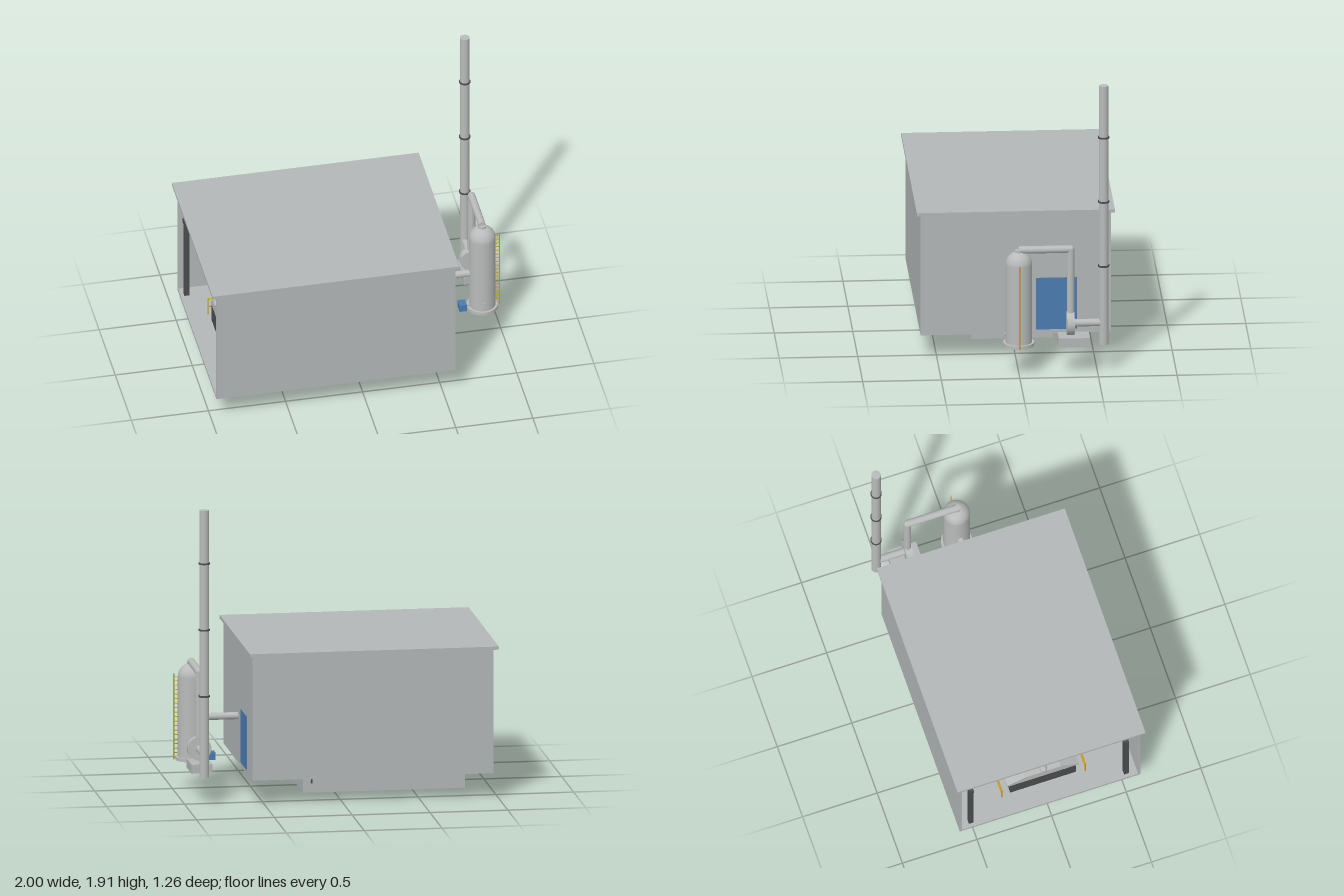
import * as THREE from 'three';

const mat = (name, color) => Object.assign(new THREE.MeshStandardMaterial({ color }), { name });

export function createModel() {
  const root = new THREE.Group();
  root.name = 'processBuilding';
  const grey = mat('concrete grey', 0xb2b6b6);
  const steel = mat('light steel', 0xb8bbba);
  const dark = mat('dark steel', 0x4a4c4e);
  const blue = mat('equipment blue', 0x4a7bb0);
  const yellow = mat('safety yellow', 0xd2a21c);

  const add = (name, geo, material, parent = root) => {
    const m = new THREE.Mesh(geo, material);
    m.name = name;
    parent.add(m);
    return m;
  };
  // box from min and max limits on each axis
  const box = (name, m, x0, x1, y0, y1, z0, z1) =>
    add(name, new THREE.BoxGeometry(x1 - x0, y1 - y0, z1 - z0), m)
      .position.set((x0 + x1) / 2, (y0 + y1) / 2, (z0 + z1) / 2);
  // round bar between two points
  const rod = (name, m, a, b, r, sides = 24) => {
    const A = new THREE.Vector3(...a), B = new THREE.Vector3(...b);
    const d = B.clone().sub(A);
    const mesh = add(name, new THREE.CylinderGeometry(r, r, d.length(), sides), m);
    mesh.position.copy(A).add(B).multiplyScalar(0.5);
    mesh.quaternion.setFromUnitVectors(new THREE.Vector3(0, 1, 0), d.normalize());
  };
  const ball = (name, m, p, r) =>
    add(name, new THREE.SphereGeometry(r, 20, 12), m).position.set(...p);

  // building shell, open on the -x end
  box('roof', grey, -1, 0.6, 0.965, 0.985, -0.63, 0.63);
  box('floor', grey, -0.97, 0.58, 0.16, 0.18, -0.605, 0.605);
  box('pit', grey, -0.84, 0.2, 0, 0.16, -0.26, 0.26);
  box('endWall', grey, 0.565, 0.58, 0.16, 0.965, -0.605, 0.605);
  for (const s of [-1, 1]) {
    const z = s * 0.5975;
    box('sideWall', grey, -0.97, 0.565, 0.16, 0.965, z - 0.0075, z + 0.0075);
  }
  box('door', blue, 0.58, 0.584, 0.185, 0.53, -0.39, -0.13);

  // pit drain pipe
  rod('drainPipe', dark, [0.15, 0.07, -0.255], [0.15, 0.07, -0.29], 0.005, 8);
  rod('drainPipe', dark, [0.15, 0.065, -0.29], [0.15, 0.16, -0.29], 0.005, 8);

  // crane runway on columns, with bridge and hoist
  for (const z of [-0.52, 0.52]) {
    for (const x of [-0.93, -0.46, 0.01, 0.48])
      box('craneColumn', dark, x - 0.016, x + 0.016, 0.18, 0.74, z - 0.016, z + 0.016);
    box('craneRunway', dark, -0.95, 0.5, 0.735, 0.77, z - 0.016, z + 0.016);
  }
  box('craneBridge', dark, -0.69, -0.65, 0.77, 0.82, -0.53, 0.53);
  rod('hoistRope', dark, [-0.67, 0.5, 0], [-0.67, 0.78, 0], 0.004, 8);

  // treatment tank with sloped covers, knobs and drop pipes
  box('tankBody', dark, -0.83, 0.19, 0.18, 0.3, -0.22, 0.22);
  const cover = new THREE.Shape([[-0.24, 0], [0.24, 0], [0.24, 0.02], [0.12, 0.07], [-0.12, 0.07], [-0.24, 0.02]]
    .map(p => new THREE.Vector2(...p)));
  for (let i = 0; i < 4; i++) {
    const x = -0.83 + i * 0.257;
    const lid = add('tankCover', new THREE.ExtrudeGeometry(cover, { depth: 0.245, bevelEnabled: false }), steel);
    lid.rotation.y = Math.PI / 2;
    lid.position.set(x, 0.3, 0);
    rod('extractionDrop', steel, [x + 0.12, 0.365, 0], [x + 0.12, 0.46, 0], 0.012, 16);
    for (const z of [-0.09, 0.09])
      box('coverHandle', yellow, x + 0.11, x + 0.13, 0.37, 0.38, z - 0.01, z + 0.01);
  }
  // walkway railings
  for (const z of [-0.28, 0.28]) {
    for (let i = 0; i < 6; i++) {
      const x = -0.84 + i * 0.206;
      rod('railingPost', yellow, [x, 0.18, z], [x, 0.3, z], 0.004, 8);
    }
    for (const y of [0.24, 0.3])
      rod('railingBar', yellow, [-0.84, y, z], [0.19, y, z], 0.004, 8);
  }

  // extraction duct through the end wall
  rod('extractionDuct', steel, [-0.84, 0.46, 0], [0.82, 0.46, 0], 0.023);
  ball('ductEnd', steel, [-0.84, 0.46, 0], 0.023);

  // scrubber vessel with domed top
  const X = 0.88;
  rod('scrubberBase', steel, [X, 0.185, 0], [X, 0.207, 0], 0.1, 40);
  rod('scrubberBody', steel, [X, 0.207, 0], [X, 0.725, 0], 0.085, 40);
  const dome = add('scrubberDome',
    new THREE.SphereGeometry(0.085, 40, 12, 0, Math.PI * 2, 0, Math.PI / 2), steel);
  dome.position.set(X, 0.725, 0);
  rod('scrubberNeck', steel, [X, 0.79, 0], [X, 0.82, 0], 0.025);
  rod('scrubberNozzle', steel, [X, 0.26, 0.07], [X, 0.26, 0.09], 0.01, 12);

  // ladder on the vessel
  rod('ladderRail', yellow, [0.992, 0.19, 0], [0.992, 0.745, 0], 0.004, 8);
  for (let i = 0; i < 19; i++) {
    const y = 0.205 + i * 0.029;
    rod('ladderRung', yellow, [0.955, y, 0], [0.992, y, 0], 0.003, 6);
  }

  // recirculation pump
  box('pump', blue, 0.728, 0.775, 0.185, 0.232, -0.035, 0.03);
  rod('pumpPipe', steel, [0.77, 0.215, 0], [0.82, 0.215, 0], 0.01, 12);

  // duct from vessel to fan
  rod('fanDuct', steel, [X, 0.82, 0.002], [X, 0.82, -0.33], 0.024);
  ball('fanDuctElbow', steel, [X, 0.82, -0.33], 0.024);
  rod('fanDuct', steel, [X, 0.82, -0.33], [X, 0.36, -0.33], 0.024);

  // fan on its plinth
  rod('fanHousing', steel, [X, 0.325, -0.305], [X, 0.325, -0.353], 0.076, 40);
  box('fanPlinth', grey, 0.812, 0.947, 0.185, 0.243, -0.45, -0.25);
  rod('stackInlet', steel, [X, 0.325, -0.35], [X, 0.325, -0.53], 0.024);

  // exhaust stack with ring joints
  rod('stack', steel, [X, 0.18, -0.54], [X, 1.91, -0.54], 0.03, 32);
  for (const y of [0.705, 1.135, 1.565])
    rod('stackRing', dark, [X, y - 0.005, -0.54], [X, y + 0.005, -0.54], 0.036, 32);

  return root;
}
